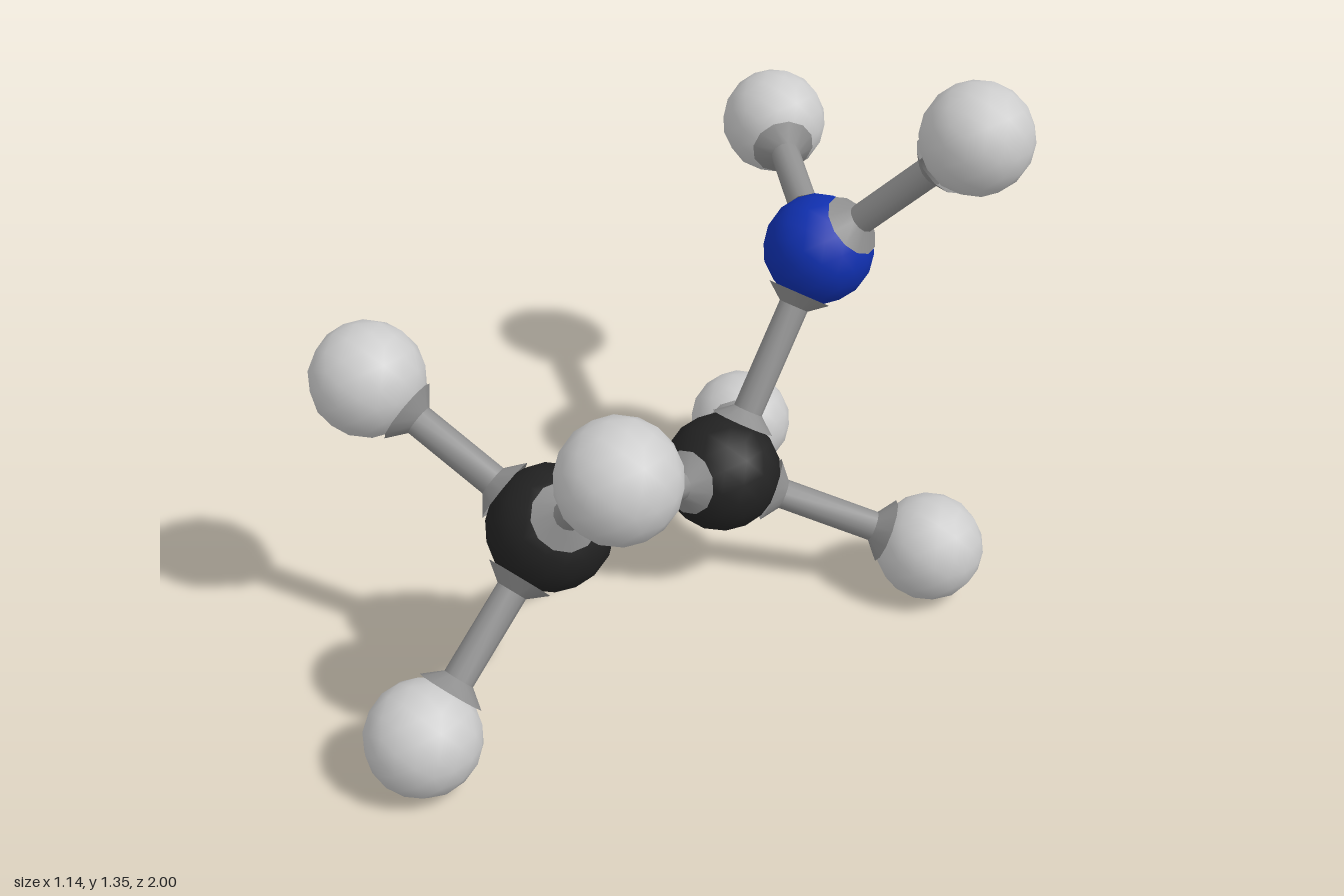
import * as THREE from 'three';
import { toCreasedNormals } from 'three/addons/utils/BufferGeometryUtils.js';

const BOND_RADIUS = 0.038;
const COLLAR_RADIUS = 0.082;

// Atom kinds: radius and colour
const KINDS = {
  carbon: { radius: 0.151, color: 0x222222 },
  nitrogen: { radius: 0.14, color: 0x1030b0 },
  hydrogen: { radius: 0.138, color: 0xcccccc },
};

const ATOMS = {
  carbonFront: ['carbon', 0.017, 0.504, 0.44],
  carbonBack: ['carbon', 0, 0.337, -0.177],
  nitrogen: ['nitrogen', 0, 0.835, -0.537],
  hydrogenFrontLow: ['hydrogen', 0.021, 0.143, 0.863],
  hydrogenFrontLeft: ['hydrogen', 0.386, 0.886, 0.587],
  hydrogenFrontRight: ['hydrogen', -0.434, 0.78, 0.577],
  hydrogenBackLeft: ['hydrogen', 0.433, 0.147, -0.493],
  hydrogenBackRight: ['hydrogen', -0.31, 0.147, -0.61],
  hydrogenTopLeft: ['hydrogen', 0.368, 1.22, -0.652],
  hydrogenTopRight: ['hydrogen', -0.428, 0.94, -0.863],
};

const BONDS = [
  ['carbonFront', 'carbonBack'],
  ['carbonBack', 'nitrogen'],
  ['carbonFront', 'hydrogenFrontLow'],
  ['carbonFront', 'hydrogenFrontLeft'],
  ['carbonFront', 'hydrogenFrontRight'],
  ['carbonBack', 'hydrogenBackLeft'],
  ['carbonBack', 'hydrogenBackRight'],
  ['nitrogen', 'hydrogenTopLeft'],
  ['nitrogen', 'hydrogenTopRight'],
];

// Distance from the atom's centre at which a collar rim meets its surface
const rimDistance = (r) => Math.sqrt(r * r - COLLAR_RADIUS ** 2) + 0.008;

// Rod that flares into a collar where it meets each atom
function makeBond(start, end, startRadius, endRadius, material) {
  const axis = end.clone().sub(start);
  const length = axis.length();
  const a = rimDistance(startRadius);
  const b = length - rimDistance(endRadius);
  const profile = [
    [COLLAR_RADIUS, a],
    [BOND_RADIUS, a + 0.035],
    [BOND_RADIUS, b - 0.035],
    [COLLAR_RADIUS, b],
  ].map(([x, y]) => new THREE.Vector2(x, y));
  const geometry = toCreasedNormals(new THREE.LatheGeometry(profile, 12), 0.7);
  const bond = new THREE.Mesh(geometry, material);
  bond.position.copy(start);
  bond.quaternion.setFromUnitVectors(new THREE.Vector3(0, 1, 0), axis.normalize());
  return bond;
}

export function createModel() {
  const model = new THREE.Group();
  model.name = 'molecule';

  // Atoms: low-poly balls with smooth normals
  const shared = {};
  for (const [kind, { radius, color }] of Object.entries(KINDS)) {
    shared[kind] = {
      geometry: new THREE.IcosahedronGeometry(radius, 2),
      material: new THREE.MeshStandardMaterial({ color }),
    };
  }
  const centres = {};
  for (const [name, [kind, x, y, z]] of Object.entries(ATOMS)) {
    const atom = new THREE.Mesh(shared[kind].geometry, shared[kind].material);
    atom.name = name;
    atom.position.set(x, y, z);
    centres[name] = atom.position;
    model.add(atom);
  }

  // Bonds
  const bondMaterial = new THREE.MeshStandardMaterial({ color: 0x909090, side: THREE.DoubleSide });
  for (const [from, to] of BONDS) {
    const bond = makeBond(
      centres[from], centres[to],
      KINDS[ATOMS[from][0]].radius, KINDS[ATOMS[to][0]].radius,
      bondMaterial,
    );
    bond.name = `bond ${from} to ${to}`;
    model.add(bond);
  }
  return model;
}
